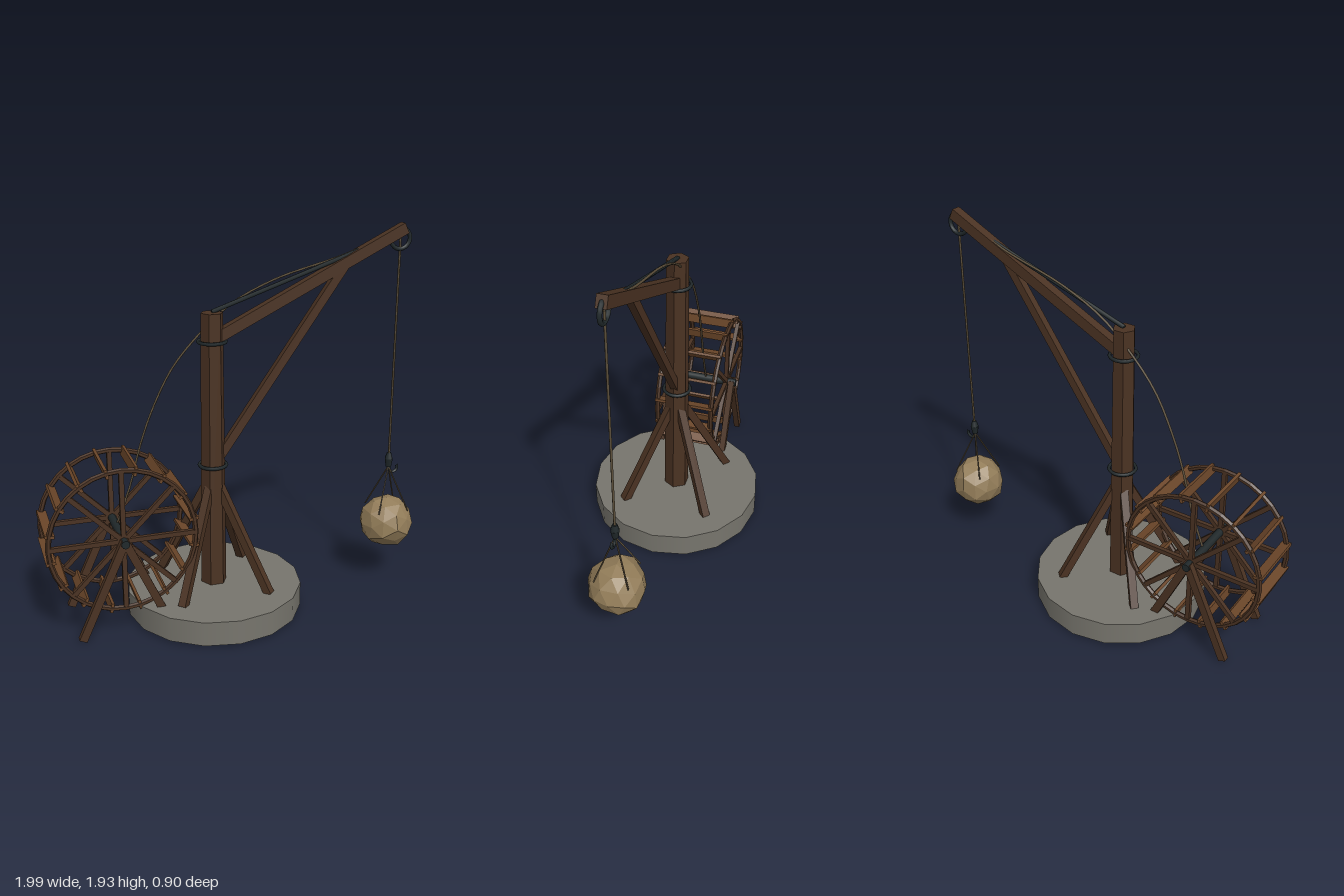
import * as THREE from 'three';

const mat = (name, color, flat = true) => {
  const m = new THREE.MeshStandardMaterial({ color, flatShading: flat });
  m.name = name;
  return m;
};

export function createModel() {
  const wood = mat('dark wood', 0x4a3222);
  const plank = mat('plank wood', 0x6b4629);
  const iron = mat('iron', 0x20282a, false);
  const rope = mat('rope', 0x5c4f3a, false);
  const stone = mat('stone', 0x77756d, false);
  const rock = mat('boulder', 0x937d59);

  const model = new THREE.Group();
  model.name = 'treadwheelCrane';
  const V = (x, y, z = 0) => new THREE.Vector3(x, y, z);

  const add = (name, geo, material, x = 0, y = 0, z = 0, parent = model) => {
    const m = new THREE.Mesh(geo, material);
    m.name = name;
    m.position.set(x, y, z);
    parent.add(m);
    return m;
  };
  // Square timber between two points
  const beam = (name, a, b, w, h, material = wood, parent = model) => {
    const c = a.clone().add(b).multiplyScalar(0.5);
    const m = add(name, new THREE.BoxGeometry(w, h, a.distanceTo(b)), material, c.x, c.y, c.z, parent);
    m.quaternion.setFromRotationMatrix(new THREE.Matrix4().lookAt(b, a, V(0, 1, 0)));
    return m;
  };
  // Round rod between two points
  const rod = (name, a, b, r, material) => {
    const c = a.clone().add(b).multiplyScalar(0.5);
    const m = add(name, new THREE.CylinderGeometry(r, r, a.distanceTo(b), 6), material, c.x, c.y, c.z);
    m.quaternion.setFromUnitVectors(V(0, 1), b.clone().sub(a).normalize());
    return m;
  };

  // Stone base and mast
  const MX = -0.12;
  add('base', new THREE.CylinderGeometry(0.45, 0.45, 0.125, 16), stone, MX, 0.0775);
  add('mast', new THREE.CylinderGeometry(0.056, 0.067, 1.41, 6).rotateY(Math.PI / 6), wood, MX, 0.845);
  for (const y of [0.78, 1.41]) {
    add('mastBand', new THREE.TorusGeometry(0.068, 0.009, 6, 20).rotateX(Math.PI / 2), iron, MX, y);
  }
  for (const sx of [-1, 1]) for (const sz of [-1, 1]) {
    beam('mastStrut', V(MX + sx * 0.225, 0.135, sz * 0.225), V(MX + sx * 0.025, 0.67, sz * 0.025), 0.04, 0.04);
  }

  // Boom, brace and tie rod
  beam('boom', V(MX, 1.417), V(0.88, 1.912), 0.048, 0.056);
  beam('boomBrace', V(-0.1, 0.8), V(0.575, 1.765), 0.036, 0.044);
  rod('tieRod', V(MX, 1.553), V(0.8, 1.868), 0.011, iron);

  // Treadwheel: two spoked rims joined by paddle boards
  const wheel = new THREE.Group();
  wheel.name = 'treadwheel';
  wheel.position.set(-0.615, 0.5, 0);
  model.add(wheel);
  for (const z of [-0.15, 0.15]) {
    add('rim', new THREE.TorusGeometry(0.36, 0.014, 6, 32), wood, 0, 0, z, wheel);
    for (let i = 0; i < 4; i++) {
      const s = add('spokePair', new THREE.BoxGeometry(0.72, 0.024, 0.022), wood, 0, 0, z, wheel);
      s.rotation.z = i * Math.PI / 4;
    }
  }
  for (let i = 0; i < 16; i++) {
    const a = (i + 0.5) * Math.PI / 8;
    const t = add('tread', new THREE.BoxGeometry(0.048, 0.015, 0.32), plank,
      0.357 * Math.cos(a), 0.357 * Math.sin(a), 0, wheel);
    t.rotation.z = a;
  }
  add('axle', new THREE.CylinderGeometry(0.021, 0.021, 0.41, 10).rotateX(Math.PI / 2), iron, 0, 0, 0, wheel);
  for (const z of [-0.182, 0.182]) for (const s of [-1, 1]) {
    beam('wheelLeg', V(s * 0.225, -0.485, z), V(0, 0.01, z), 0.032, 0.04, wood, wheel);
  }

  // Hauling rope from axle over the mast to the boom tip
  const path = new THREE.CatmullRomCurve3([
    V(-0.615, 0.5, -0.03), V(-0.54, 0.7, -0.03), V(-0.475, 0.93, -0.03), V(-0.41, 1.1, -0.03),
    V(-0.31, 1.29, -0.028), V(-0.16, 1.46, -0.026), V(-0.01, 1.585, -0.025),
    V(0.21, 1.69, -0.022), V(0.56, 1.79, -0.015), V(0.86, 1.905, -0.005)]);
  add('haulingRope', new THREE.TubeGeometry(path, 32, 0.006, 5), rope);

  // Tip ring, hoist rope, block and hook
  const LX = 0.857;
  add('tipRing', new THREE.TorusGeometry(0.052, 0.011, 8, 20), iron, LX, 1.86);
  rod('hoistRope', V(LX, 1.86), V(LX, 0.72), 0.006, rope);
  add('hookBlock', new THREE.CylinderGeometry(0.012, 0.022, 0.035, 8), iron, LX, 0.715);
  add('hookBlockBase', new THREE.CylinderGeometry(0.022, 0.015, 0.045, 8), iron, LX, 0.677);
  const hook = add('hook', new THREE.TorusGeometry(0.023, 0.008, 6, 14, Math.PI * 1.4), iron, LX + 0.028, 0.645);
  hook.rotation.z = Math.PI * 0.85;

  // Boulder with uneven facets, hung from four slings
  const geo = new THREE.IcosahedronGeometry(0.145, 1);
  const p = geo.attributes.position;
  const v = V(0, 0);
  for (let i = 0; i < p.count; i++) {
    v.fromBufferAttribute(p, i);
    const k = 0.975 + 0.04 * Math.sin(v.x * 41 + v.y * 29 + v.z * 53);
    p.setXYZ(i, v.x * k, v.y * k, v.z * k);
  }
  geo.computeVertexNormals();
  add('boulder', geo, rock, LX, 0.34);
  for (const sx of [-1, 1]) for (const sz of [-1, 1]) {
    rod('sling', V(LX, 0.655), V(LX + sx * 0.085, 0.42, sz * 0.085), 0.004, rope);
  }
  return model;
}
